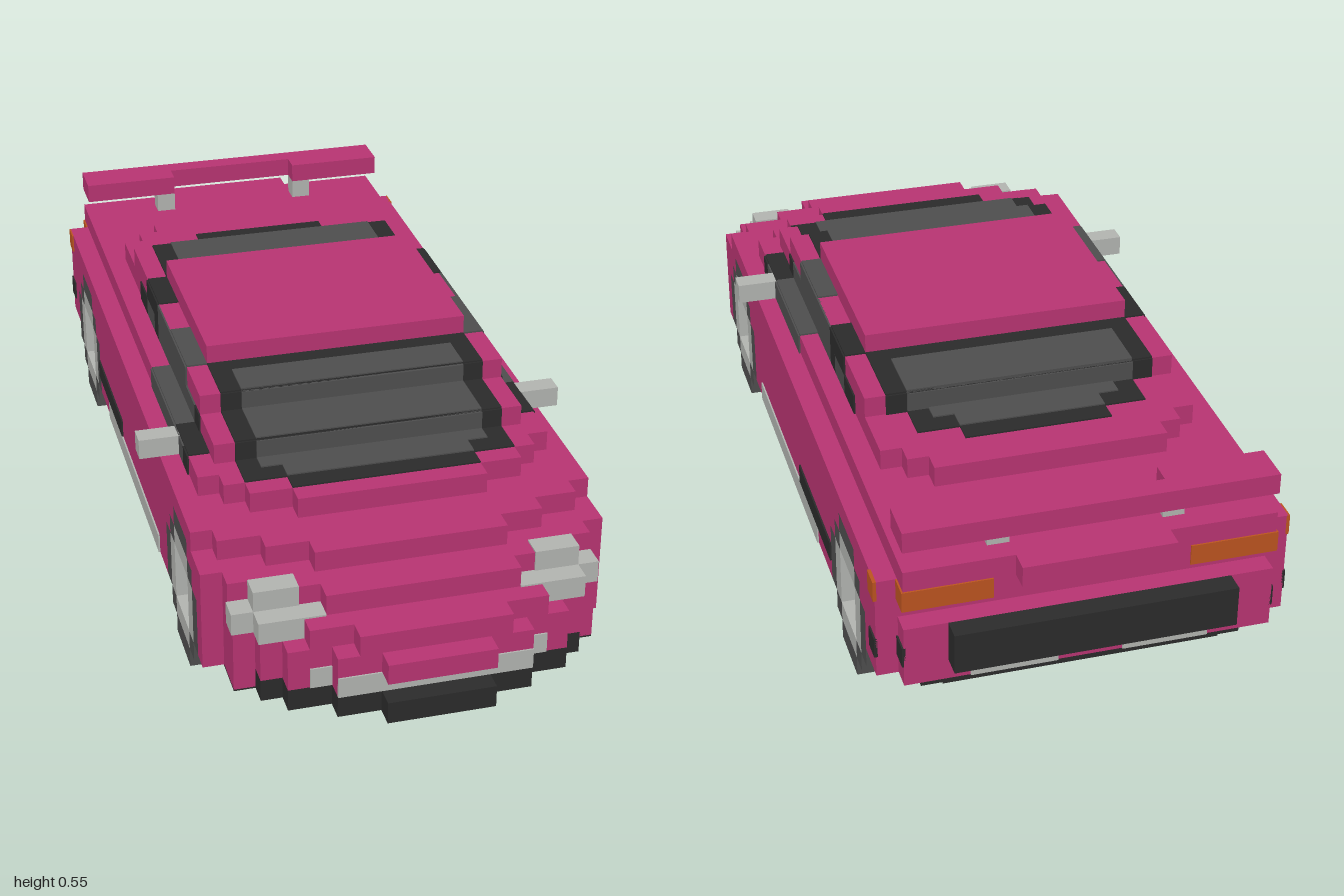
import * as THREE from 'three';

const V = 2 / 44; // one block
const E = 0.08;   // thickness of painted plates, in blocks

const paint = (name, color) => Object.assign(new THREE.MeshStandardMaterial({ color }), { name });

export function createModel() {
  const car = new THREE.Group();
  car.name = 'car';
  const body = paint('magenta paint', 0xb83472);
  const black = paint('black trim', 0x2b2b2b);
  const dark = paint('dark grey', 0x4e4e4e);
  const light = paint('light grey', 0xb2b4b0);
  const orange = paint('orange lamp', 0xbc5420);

  // Block units: x from the centre, y from the ground, r counted back from the nose
  function box(name, mat, x0, x1, y0, y1, r0, r1) {
    const g = new THREE.BoxGeometry((x1 - x0) * V, (y1 - y0) * V, (r1 - r0) * V);
    const m = new THREE.Mesh(g, mat);
    m.name = name;
    m.position.set((x0 + x1) / 2 * V, (y0 + y1) / 2 * V, 1 - (r0 + r1) / 2 * V);
    car.add(m);
  }
  const slab = (name, mat, half, y0, y1, r0, r1) => box(name, mat, -half, half, y0, y1, r0, r1);
  function pair(name, mat, x0, x1, y0, y1, r0, r1) {
    box(name + 'Left', mat, x0, x1, y0, y1, r0, r1);
    box(name + 'Right', mat, -x1, -x0, y0, y1, r0, r1);
  }
  const sidePaint = (name, mat, half, y0, y1, r0, r1) =>
    pair(name, mat, half - E, half + E, y0, y1, r0, r1);
  const topPaint = (name, mat, half, y, r0, r1, lift = E) =>
    slab(name, mat, half, y - E, y + lift, r0, r1);
  const frontPaint = (name, mat, half, y0, y1, r, lift = E) =>
    slab(name, mat, half, y0, y1, r - lift, r + E);
  const backPaint = (name, mat, half, y0, y1, r, lift = E) =>
    slab(name, mat, half, y0, y1, r - E, r + lift);

  // Stepped nose: half width of each row, by layer
  const nose = {
    2: [0, [2.5, 4.5, 6.5, 7.5, 8.5, 8.5]],
    3: [1, [4.5, 6.5, 7.5, 8.5, 8.5]],
    4: [0, [2.5, 4.5, 6.5, 7.5, 8.5, 8.5]],
    5: [1, [3.5, 5.5, 7.5, 8.5, 8.5]],
    6: [3, [4.5, 7.5, 8.5]],
    7: [5, [4.5, 6.5, 8.5]],
    8: [8, [4.5, 6.5, 7.5]],
  };
  for (const [layer, [start, halves]] of Object.entries(nose)) {
    const y = +layer;
    halves.forEach((h, i) => {
      const r = start + i;
      slab(y === 2 && r < 4 ? 'frontSplitter' : 'nose', y === 2 && r < 4 ? black : body, h, y, y + 1, r, r + 1);
    });
  }

  // Lower body with stepped wheel arches
  const tyreWidths = [3, 5, 7, 7, 7, 5, 3];
  const axles = [10.5, 36.5];
  const rearEnd = { 2: 40, 3: 42, 4: 42, 5: 42, 6: 42 };
  for (let y = 2; y <= 6; y++) {
    const w = tyreWidths[y] / 2;
    slab('floorCore', body, 6.5, y, y + 1, 6, rearEnd[y]);
    pair('frontWing', body, 6.5, 9.5, y, y + 1, 6, axles[0] - w);
    pair('door', body, 6.5, 9.5, y, y + 1, axles[0] + w, axles[1] - w);
    if (axles[1] + w < rearEnd[y]) pair('rearWing', body, 6.5, 9.5, y, y + 1, axles[1] + w, rearEnd[y]);
  }
  slab('rearBumper', body, 8.5, 3, 6, 42, 43);
  slab('rearValance', black, 7.5, 2, 3, 40, 42);

  // Shoulders, bonnet and boot deck
  slab('shoulder', body, 9.5, 7, 8, 8, 42);
  slab('rearShoulder', body, 8.5, 7, 8, 42, 43);
  slab('deck', body, 8.5, 8, 9, 11, 43);
  slab('bootLip', body, 3.5, 8, 9, 43, 44);

  // Cabin
  slab('cabinLower', body, 7.5, 9, 10, 12, 35);
  slab('cabinLowerBack', body, 6.5, 9, 10, 35, 36);
  slab('cabinLowerTail', body, 5.5, 9, 10, 36, 37);
  slab('cabinUpper', body, 7.5, 10, 11, 15, 32);
  slab('roof', body, 6.5, 11, 12, 18, 28);

  // Windscreen: black frame with grey glass on each step
  const G = E * 1.8;
  topPaint('windscreenFrame', black, 4.5, 9, 9, 10);
  topPaint('windscreenFrame', black, 6.5, 9, 10, 12);
  topPaint('windscreenGlass', dark, 4.5, 9, 10, 11, G);
  topPaint('windscreenGlass', dark, 5.5, 9, 11, 12, G);
  for (const [y, r] of [[9, 12], [10, 15]]) {
    frontPaint('windscreenFrame', black, 6.5, y, y + 1, r);
    frontPaint('windscreenGlass', dark, 5.5, y, y + 1, r, G);
    topPaint('windscreenFrame', black, 6.5, y + 1, r, r + 3);
    topPaint('windscreenGlass', dark, 5.5, y + 1, r, y === 10 ? r + 2 : r + 3, G);
  }

  // Rear window
  topPaint('rearFrame', black, 6.5, 11, 28, 32);
  topPaint('rearGlass', dark, 5.5, 11, 29, 32, G);
  backPaint('rearFrame', black, 6.5, 10, 11, 32);
  backPaint('rearGlass', dark, 5.5, 10, 11, 32, G);
  topPaint('rearFrame', black, 5.5, 10, 32, 34);
  topPaint('rearFrame', black, 3.5, 10, 34, 35);
  topPaint('rearGlass', dark, 4.5, 10, 32, 33, G);
  topPaint('rearGlass', dark, 3.5, 10, 33, 34, G);

  // Side windows
  sidePaint('sideGlassUpper', dark, 7.5, 10, 11, 18, 25);
  sidePaint('pillarUpper', black, 7.5, 10, 11, 25, 28);
  sidePaint('pillarFront', black, 7.5, 9, 10, 15, 16);
  sidePaint('sideGlass', dark, 7.5, 9, 10, 16, 25);
  sidePaint('pillarMiddle', black, 7.5, 9, 10, 25, 26);
  sidePaint('quarterGlass', dark, 7.5, 9, 10, 26, 28);
  sidePaint('pillarRear', black, 7.5, 9, 10, 28, 30);
  sidePaint('sillFront', black, 8.5, 8, 9, 13, 14);
  sidePaint('sillGlass', dark, 8.5, 8, 9, 14, 22);
  pair('sillTopFront', black, 7.5, 8.5, 9 - E, 9 + E, 13, 16);
  pair('sillTop', dark, 7.5, 8.5, 9 - E, 9 + E, 16, 22);
  pair('windowTop', dark, 6.5, 7.5, 11 - E, 11 + E, 18, 22);
  pair('windowTopRear', black, 6.5, 7.5, 11 - E, 11 + E, 25, 28);

  // Mirrors and sill trim
  pair('mirror', light, 8.5, 10.5, 8, 9, 15, 16);
  sidePaint('sideSkirt', light, 9.5, 2, 3, 16, 30);
  sidePaint('sideVent', black, 9.5, 3, 4, 26, 33);

  // Headlights and front grille
  pair('headlightInner', light, 4.5, 7.5 + E, 5, 6 + E, 3 - E, 4);
  pair('headlightOuter', light, 5.5, 8.5 + E, 5, 6 + E, 4 - E, 5);
  pair('headlightTop', light, 5.5, 7.5 + E, 6, 7 + E, 4 - E, 5);
  frontPaint('grille', light, 4.5, 3, 4, 1);
  pair('grilleEnd', light, 4.5, 5.5, 3, 4, 2 - E, 2 + E);

  // Tail panel and lamps
  slab('tailPanel', black, 6.5, 4, 6, 43, 44);
  pair('tailPanelSide', black, 8.5 - E, 8.5 + E, 4, 5, 42, 43);
  sidePaint('tailPanelCorner', black, 9.5, 4, 5, 41, 42);
  pair('tailLamp', orange, 4.5, 8.5 + E, 7, 8, 42, 43 + E);
  sidePaint('tailLampSide', orange, 9.5, 7, 8, 41, 42);
  pair('exhaustTrim', light, 1.5, 5.5, 3, 4, 43 - E, 43 + E);

  // Spoiler
  pair('spoilerStrut', light, 3.5, 4.5, 9, 10, 41, 42);
  pair('spoilerEnd', body, 3.5, 8.5, 10, 11, 41, 43);
  slab('spoilerMiddle', body, 3.5, 10, 11, 42, 43);

  // Underside
  const under = (name, mat, half, r0, r1, drop) => slab(name, mat, half, 2 - drop, 2 + E, r0, r1);
  [2.5, 4.5, 6.5, 7.5, 8.5, 8.5].forEach((h, i) => under('underFloor', black, h, i, i + 1, E));
  under('underFloor', black, 6.5, 6, 42, E);
  pair('underFloorSide', black, 6.5, 8.5, 2 - E, 2, 14, 33);
  under('underPanelFront', dark, 4.5, 8, 14, G);
  under('underTunnel', dark, 1.5, 14, 28, G);
  under('underPanelRear', dark, 4.5, 28, 40, G);

  // Wheels: stepped rings of blocks, with a recessed hub
  const rimWidths = [0, 3, 5, 5, 5, 3, 0];
  const hubWidths = [0, 0, 3, 3, 3, 0, 0];
  const none = [0, 0, 0, 0, 0, 0, 0];
  function ring(name, mat, outer, inner, x0, x1, c) {
    outer.forEach((o, y) => {
      const i = inner[y];
      if (!o) return;
      if (!i) return pair(name, mat, x0, x1, y, y + 1, c - o / 2, c + o / 2);
      pair(name, mat, x0, x1, y, y + 1, c - o / 2, c - i / 2);
      pair(name, mat, x0, x1, y, y + 1, c + i / 2, c + o / 2);
    });
  }
  for (const c of axles) {
    ring('tyre', dark, tyreWidths, none, 6.5, 8.5, c);
    ring('tyreWall', dark, tyreWidths, rimWidths, 8.5, 9.5, c);
    ring('rim', light, rimWidths, hubWidths, 8.5, 9.5, c);
    ring('hub', light, hubWidths, none, 8.4, 8.6, c);
    pair('hubCap', dark, 8.5, 8.7, 3, 4, c - 0.5, c + 0.5);
  }
  return car;
}
